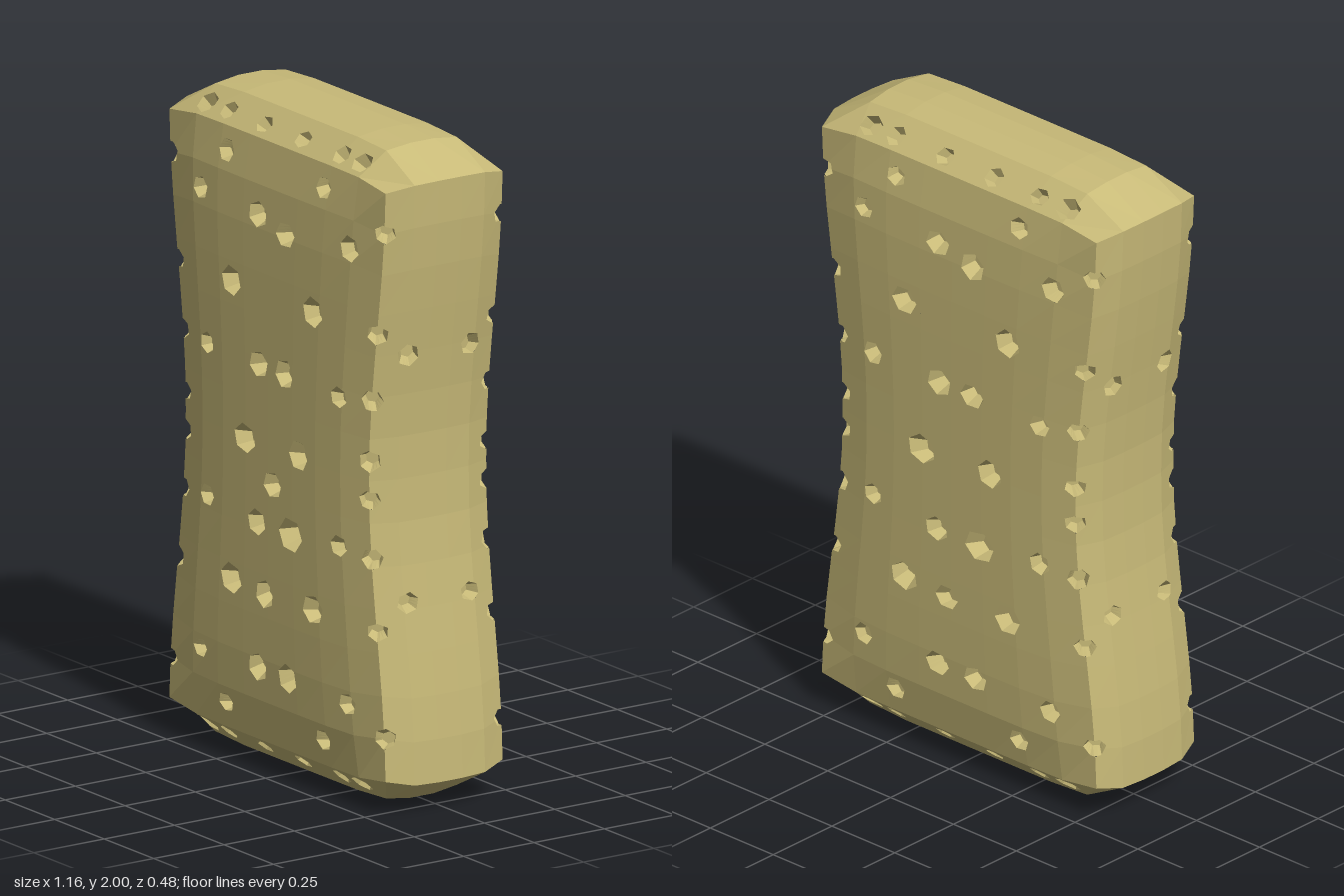
import * as THREE from 'three';

const V = (x, y, z) => new THREE.Vector3(x, y, z);
const lerp = THREE.MathUtils.lerp;

// Cushion rule: maps a point of the cube [-1,1]^3 to the waisted, puffed slab
function cushion(a, b, c) {
  const a4 = a ** 4, a8 = a ** 8, b8 = b ** 8, c4 = c ** 4;
  const y = 1 + b * (1 - 0.09 * (1 - (1 - a8) * (1 - c4)) - 0.02 * a8 * c4);
  const flare = THREE.MathUtils.smoothstep(Math.abs(y - 1) / 0.91, 0.03, 1);
  const x = a * (0.497 + 0.083 * flare - 0.034 * c4);
  const z = c * (0.24 - 0.032 * (1 - (1 - a4) * (1 - b8)));
  return V(x, y, z);
}

function cushionGeometry() {
  const g = new THREE.BoxGeometry(2, 2, 2, 8, 14, 5).toNonIndexed();
  const p = g.attributes.position;
  for (let i = 0; i < p.count; i++) {
    const q = cushion(p.getX(i), p.getY(i), p.getZ(i));
    p.setXYZ(i, q.x, q.y, q.z);
  }
  return g;
}

// Small seeded generator for the uneven pits
let seed = 7;
const rnd = () => (seed = (seed * 16807) % 2147483647) / 2147483647;

// Part of a convex polygon on one side of a plane
function clip(poly, plane, sign) {
  const out = [];
  poly.forEach((p, i) => {
    const q = poly[(i + 1) % poly.length];
    const d = sign * plane.distanceToPoint(p), e = sign * plane.distanceToPoint(q);
    if (d >= 0) out.push(p);
    if ((d > 0 && e < 0) || (d < 0 && e > 0)) out.push(p.clone().lerp(q, d / (d - e)));
  });
  return out.length > 2 ? out : null;
}

// Polygon minus the convex hole given by its planes (normals point outward)
function subtract(poly, planes) {
  const kept = [];
  let rest = poly;
  for (const plane of planes) {
    const inside = clip(rest, plane, -1);
    if (!inside) return [poly];
    const outside = clip(rest, plane, 1);
    if (outside) kept.push(outside);
    rest = inside;
  }
  return kept;
}

function toGeometry(polys) {
  const pos = [];
  for (const p of polys)
    for (let i = 1; i < p.length - 1; i++)
      for (const v of [p[0], p[i], p[i + 1]]) pos.push(v.x, v.y, v.z);
  const g = new THREE.BufferGeometry();
  g.setAttribute('position', new THREE.Float32BufferAttribute(pos, 3));
  g.computeVertexNormals();
  return g;
}

// Pits of one broad face: x, y, radius
const FACE_PITS = [
  [-0.24, 1.84, 0.037], [0.25, 1.84, 0.037], [-0.36, 1.7, 0.038], [-0.06, 1.69, 0.047],
  [0.08, 1.66, 0.047], [0.39, 1.69, 0.042], [-0.19, 1.46, 0.049], [0.22, 1.46, 0.048],
  [-0.32, 1.24, 0.038], [-0.05, 1.24, 0.047], [0.08, 1.24, 0.046], [0.34, 1.23, 0.036],
  [-0.12, 1.0, 0.055], [0.15, 1.01, 0.047], [0.02, 0.89, 0.046], [-0.32, 0.78, 0.037],
  [-0.06, 0.76, 0.045], [0.11, 0.76, 0.058], [0.34, 0.78, 0.037], [-0.19, 0.56, 0.054],
  [-0.02, 0.55, 0.045], [0.22, 0.56, 0.05], [-0.36, 0.31, 0.037], [-0.06, 0.32, 0.047],
  [0.09, 0.32, 0.046], [0.38, 0.31, 0.039], [-0.24, 0.17, 0.037], [0.25, 0.17, 0.037],
];

function pitList() {
  const list = [];
  const add = (p, axis, r, depth) => list.push({ p, axis: axis.normalize(), r, depth: depth * r });
  for (const s of [1, -1]) {
    // broad faces, the back turned half round
    FACE_PITS.forEach(([x, y, r], i) => {
      if (s > 0 || i !== 14) add(V(s * x, y, s * 0.24), V(0, 0, s), r, 0.9);
    });
    // long edges and narrow sides
    for (const t of [1, -1]) {
      for (const y of [1.78, 1.46, 1.25, 1.06, 0.94, 0.76, 0.54, 0.22])
        add(cushion(t, (y - 1) / 0.91, s), V(t, 0, s), 0.034, 1.4);
      for (const y of [1.38, 0.63]) add(V(t * 0.5, y, s * 0.105), V(t, 0, 0.25 * s), 0.036, 0.9);
      // rounded top and bottom ends
      for (const x of [-0.4, -0.29, -0.11, 0.085, 0.28, 0.38])
        add(V(x, 1 + t * 0.94, s * 0.175), V(0, t, s), Math.abs(x) > 0.35 ? 0.042 : 0.034, 0.95);
    }
  }
  return list;
}

export function createModel() {
  const solid = cushionGeometry();
  const target = new THREE.Mesh(solid, new THREE.MeshBasicMaterial());
  const ray = new THREE.Raycaster();
  const project = (p, axis) => {
    ray.set(p.clone().addScaledVector(axis, 0.4), axis.clone().negate());
    const hit = ray.intersectObject(target)[0];
    return hit && hit.distance < 0.65 ? hit.point : p.clone();
  };

  const walls = [], holes = [];
  for (const { p, axis, r, depth } of pitList()) {
    const centre = project(p, axis);
    const u = V(0, 1, 0).cross(axis);
    if (u.lengthSq() < 0.01) u.set(1, 0, 0);
    u.normalize();
    const w = axis.clone().cross(u);
    const turn = rnd() * Math.PI, squash = 0.8 + 0.2 * rnd();
    const corners = [];
    for (let i = 0; i < 6; i++) {
      const t = turn + (i * Math.PI) / 3;
      corners.push(centre.clone().addScaledVector(u, r * Math.cos(t)).addScaledVector(w, r * squash * Math.sin(t)));
    }
    // cutting planes: six sides and a far limit
    const planes = corners.map((c, i) => {
      const n = corners[(i + 1) % 6].clone().sub(c).cross(axis).normalize();
      return new THREE.Plane().setFromNormalAndCoplanarPoint(n, c);
    });
    const limit = centre.clone().addScaledVector(axis, -0.13);
    planes.push(new THREE.Plane().setFromNormalAndCoplanarPoint(axis.clone().negate(), limit));
    holes.push({ centre, planes });

    // pit lining: rim laid on the surface, narrowing to a skewed floor
    const rim = [], floor = [];
    const skew = u.clone().multiplyScalar((rnd() - 0.5) * 0.4 * r).addScaledVector(w, (rnd() - 0.5) * 0.4 * r);
    const base = centre.clone().addScaledVector(axis, -depth).add(skew);
    for (let i = 0; i < 6; i++)
      for (let k = 0; k < 3; k++) {
        const c = corners[i].clone().lerp(corners[(i + 1) % 6], k / 3);
        rim.push(project(c, axis));
        floor.push(c.sub(centre).multiplyScalar(lerp(0.5, 0.6, squash)).add(base));
      }
    rim.forEach((q, i) => {
      const j = (i + 1) % rim.length;
      walls.push([rim[j], q, floor[i], floor[j]]);
    });
    walls.push(floor);
  }

  // Outer skin with the pits cut out
  const skin = [], pos = solid.attributes.position;
  for (let i = 0; i < pos.count; i += 3) {
    const tri = [0, 1, 2].map((k) => new THREE.Vector3().fromBufferAttribute(pos, i + k));
    const box = new THREE.Box3().setFromPoints(tri);
    let parts = [tri];
    for (const { centre, planes } of holes)
      if (box.distanceToPoint(centre) < 0.12) parts = parts.flatMap((q) => subtract(q, planes));
    skin.push(...parts);
  }

  const color = 0xc8ba78;
  const body = new THREE.Mesh(toGeometry(skin), new THREE.MeshStandardMaterial({ color, flatShading: true }));
  body.name = 'body';
  const pits = new THREE.Mesh(
    toGeometry(walls),
    new THREE.MeshStandardMaterial({ color, flatShading: true, side: THREE.DoubleSide })
  );
  pits.name = 'pits';
  const group = new THREE.Group();
  group.name = 'pittedCushionBlock';
  group.add(body, pits);
  return group;
}
